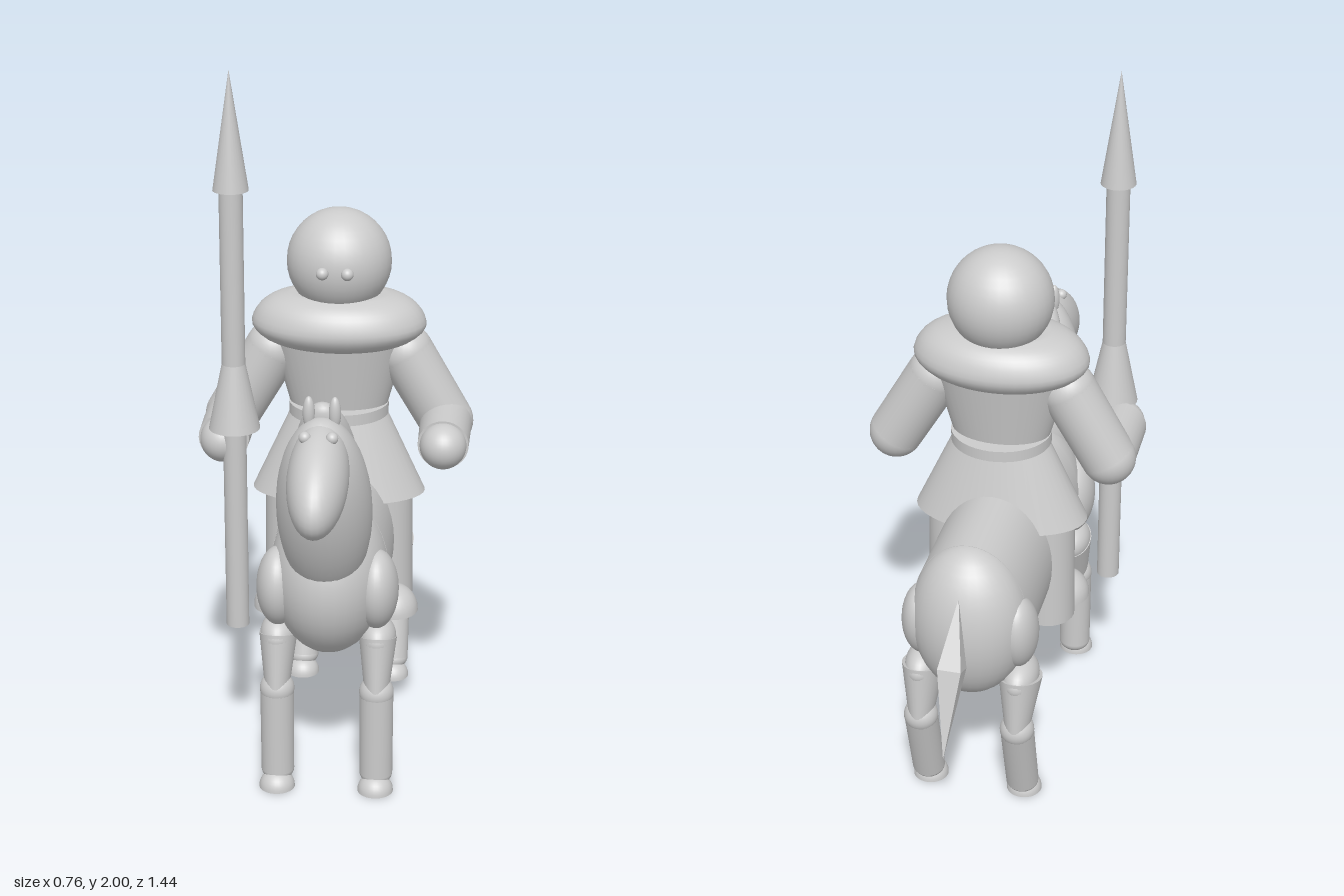
import * as THREE from 'three';

const material = new THREE.MeshStandardMaterial({ color: 0xcccccc });
const flatMaterial = new THREE.MeshStandardMaterial({ color: 0xcccccc, flatShading: true });
const UP = new THREE.Vector3(0, 1, 0);

function add(parent, name, geometry, pos = [0, 0, 0], scale = [1, 1, 1], tilt = 0, mat = material) {
  const mesh = new THREE.Mesh(geometry, mat);
  mesh.name = name;
  mesh.position.set(...pos);
  mesh.scale.set(...scale);
  mesh.rotation.x = tilt;
  parent.add(mesh);
  return mesh;
}

const ball = new THREE.SphereGeometry(1, 32, 20);
const ellipsoid = (parent, name, pos, radii, tilt = 0) => add(parent, name, ball, pos, radii, tilt);

// Tapered cylinder from point a to point b
function limb(parent, name, a, b, ra, rb, sides = 28, mat = material) {
  const from = new THREE.Vector3(...a), to = new THREE.Vector3(...b);
  const dir = to.clone().sub(from);
  const mesh = add(parent, name, new THREE.CylinderGeometry(rb, ra, dir.length(), sides),
    from.clone().add(to).multiplyScalar(0.5).toArray(), [1, 1, 1], 0, mat);
  mesh.quaternion.setFromUnitVectors(UP, dir.normalize());
  return mesh;
}

// Half dome with a flat closed sole, for hooves and boots
const dome = new THREE.LatheGeometry(
  [[0, 0], [1, 0], [1, 0], ...Array.from({ length: 9 }, (_, i) => {
    const t = ((i + 1) / 9) * Math.PI / 2;
    return [Math.max(0, Math.cos(t)), Math.sin(t)];
  })].map(([x, y]) => new THREE.Vector2(x, y)), 28);

function buildHorse() {
  const horse = new THREE.Group();
  horse.name = 'horse';

  // Barrel with rounded chest and rump
  const barrel = add(horse, 'barrel', new THREE.CylinderGeometry(1, 1, 0.64, 40), [0, 0.622, -0.1], [0.163, 1, 0.233], Math.PI / 2);
  barrel.name = 'barrel';
  ellipsoid(horse, 'chest', [0, 0.622, 0.22], [0.162, 0.232, 0.21]);
  ellipsoid(horse, 'rump', [0, 0.622, -0.42], [0.162, 0.232, 0.14]);

  // Neck, mane and head
  ellipsoid(horse, 'neck', [0, 0.87, 0.37], [0.128, 0.3, 0.135], 0.34);
  ellipsoid(horse, 'mane', [0, 0.97, 0.3], [0.085, 0.25, 0.065], 0.53);
  ellipsoid(horse, 'horseHead', [0, 1.025, 0.54], [0.08, 0.105, 0.19], 0.42);
  for (const s of [-1, 1]) {
    ellipsoid(horse, 'horseEye', [s * 0.035, 1.132, 0.525], [0.016, 0.016, 0.016]);
    ellipsoid(horse, 'ear', [s * 0.034, 1.165, 0.432], [0.016, 0.045, 0.016]);
  }

  // Legs, mirrored left and right
  for (const s of [-1, 1]) {
    const x = s * 0.138;
    ellipsoid(horse, 'shoulder', [s * 0.135, 0.6, 0.285], [0.06, 0.115, 0.092], 0.15);
    const front = [[x, 0.45, 0.27], [x, 0.3, 0.315], [x, 0.05, 0.315]];
    const rear = [[x, 0.44, -0.405], [x, 0.285, -0.447], [x, 0.055, -0.38]];
    ellipsoid(horse, 'haunch', [s * 0.135, 0.6, -0.42], [0.055, 0.115, 0.078], -0.2);
    for (const [label, [hip, knee, foot], rz] of [['front', front, 0.075], ['rear', rear, 0.085]]) {
      const leg = new THREE.Group();
      leg.name = label + 'Leg';
      horse.add(leg);
      ellipsoid(leg, 'hipJoint', hip, [0.05, 0.055, rz]);
      // Upper leg is wider fore and aft at the hip
      const upper = limb(leg, 'upperLeg', hip, knee, rz, 0.048);
      upper.scale.x = 0.7;
      ellipsoid(leg, 'knee', knee, [0.048, 0.048, 0.048]);
      limb(leg, 'lowerLeg', knee, foot, 0.047, 0.046);
      ellipsoid(leg, 'ankle', foot, [0.046, 0.035, 0.046]);
      add(leg, 'hoof', dome, [x, 0.005, foot[2] + 0.024], [0.05, 0.048, 0.05]);
    }
  }

  // Faceted four-sided tail
  const tail = new THREE.Group();
  tail.name = 'tail';
  const profile = [[0, -0.25], [0.046, 0], [0, 0.19]].map(([r, y]) => new THREE.Vector2(r, y));
  const tailGeometry = new THREE.LatheGeometry(profile, 4, Math.PI / 4);
  add(tail, 'tailHair', tailGeometry, [0, 0.59, -0.615], [1, 1, 1], 0.42, flatMaterial);
  horse.add(tail);
  return horse;
}

function buildRider() {
  const rider = new THREE.Group();
  rider.name = 'rider';
  const z = -0.065;

  // Skirt, belt and torso with oval sections
  add(rider, 'skirt', new THREE.CylinderGeometry(0.135, 0.245, 0.24, 40), [0, 0.87, z], [1, 1, 0.55]);
  add(rider, 'belt', new THREE.CylinderGeometry(0.14, 0.14, 0.032, 40), [0, 1.0, z], [1, 1, 0.93]);
  add(rider, 'torso', new THREE.CylinderGeometry(0.2, 0.128, 0.26, 40), [0, 1.11, z], [1, 1, 0.65]);

  // Rounded collar over the shoulders
  const collarCurve = new THREE.SplineCurve([[0.17, 1.19], [0.215, 1.21], [0.243, 1.245], [0.225, 1.29], [0.185, 1.32], [0.13, 1.335]]
    .map(([r, y]) => new THREE.Vector2(r, y)));
  const collarPoints = [new THREE.Vector2(0, 1.19), ...collarCurve.getPoints(16), new THREE.Vector2(0, 1.335)];
  add(rider, 'collar', new THREE.LatheGeometry(collarPoints, 40), [0, 0, z], [1, 1, 0.67]);

  // Head and eyes
  ellipsoid(rider, 'head', [0, 1.423, -0.073], [0.145, 0.147, 0.139]);

  for (const s of [-1, 1]) {
    ellipsoid(rider, 'eye', [s * 0.034, 1.425, 0.068], [0.017, 0.017, 0.017]);

    // Bent arm
    const arm = new THREE.Group();
    arm.name = 'arm';
    rider.add(arm);
    const shoulder = [s * 0.185, 1.165, z], elbow = [s * 0.302, 0.965, z], wrist = [s * 0.302, 0.962, 0.12];
    ellipsoid(arm, 'shoulderJoint', shoulder, [0.078, 0.078, 0.078]);
    limb(arm, 'upperArm', shoulder, elbow, 0.078, 0.076);
    ellipsoid(arm, 'elbow', elbow, [0.076, 0.076, 0.076]);
    limb(arm, 'forearm', elbow, wrist, 0.073, 0.07);
    ellipsoid(arm, 'hand', [s * 0.302, 0.962, 0.125], [0.064, 0.064, 0.068]);

    // Leg and boot
    limb(rider, 'leg', [s * 0.135, 0.42, z], [s * 0.135, 0.8, z], 0.078, 0.074);
    add(rider, 'boot', dome, [s * 0.165, 0.42, 0.035], [0.07, 0.075, 0.075]);
  }
  return rider;
}

function buildLance() {
  const lance = new THREE.Group();
  lance.name = 'lance';
  lance.position.set(-0.265, 0, 0.167);
  add(lance, 'shaft', new THREE.CylinderGeometry(0.032, 0.032, 1.26, 28), [0, 1.05, 0]);
  add(lance, 'handGuard', new THREE.CylinderGeometry(0.032, 0.07, 0.185, 28), [0, 1.105, 0]);
  add(lance, 'point', new THREE.ConeGeometry(0.048, 0.32, 28), [0, 1.84, 0]);
  return lance;
}

export function createModel() {
  const model = new THREE.Group();
  model.name = 'mountedLancer';
  model.add(buildHorse(), buildRider(), buildLance());
  return model;
}
